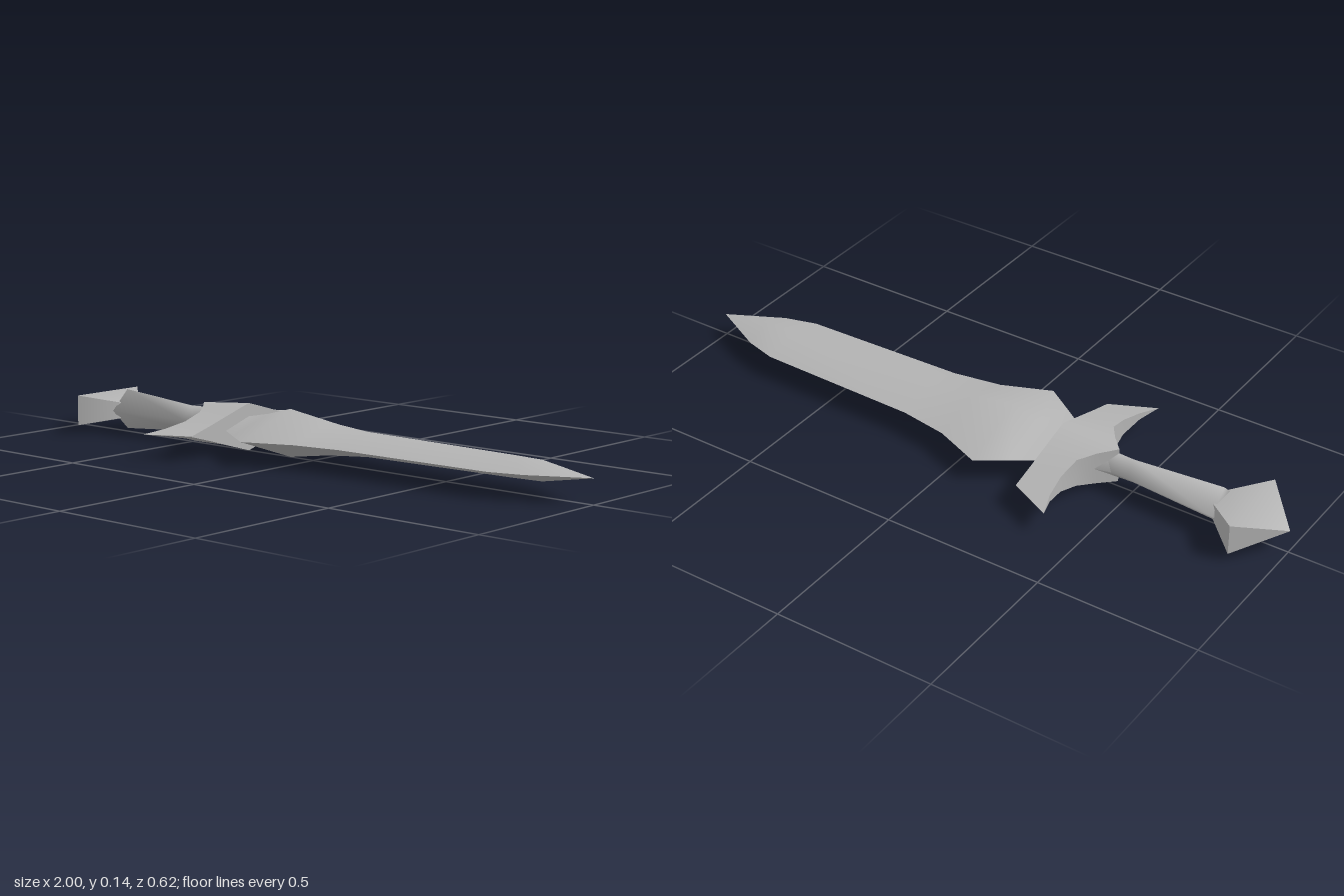
import * as THREE from 'three';
import { toCreasedNormals } from 'three/addons/utils/BufferGeometryUtils.js';

const CY = 0.075; // height of the dagger's axis

// Skin a row of equal-length rings (counter-clockwise about the loft direction) and cap both ends
function loft(rings, crease) {
  const pos = [];
  const tri = (a, b, c) => {
    const n = new THREE.Vector3().subVectors(b, a).cross(new THREE.Vector3().subVectors(c, a));
    if (n.length() > 1e-9) for (const p of [a, b, c]) pos.push(p.x, p.y, p.z);
  };
  const n = rings[0].length;
  for (let r = 0; r < rings.length - 1; r++) {
    const a = rings[r], b = rings[r + 1];
    for (let i = 0; i < n; i++) {
      const j = (i + 1) % n;
      tri(a[i], a[j], b[j]);
      tri(a[i], b[j], b[i]);
    }
  }
  const first = rings[0], last = rings[rings.length - 1];
  for (let i = 1; i < n - 1; i++) {
    tri(first[0], first[i + 1], first[i]);
    tri(last[0], last[i], last[i + 1]);
  }
  const g = new THREE.BufferGeometry();
  g.setAttribute('position', new THREE.Float32BufferAttribute(pos, 3));
  return toCreasedNormals(g, crease);
}

const v = (x, y, z) => new THREE.Vector3(x, CY + y, z);
// Sections across x: half height h, half width w
const diamond = ([x, h, w]) => [v(x, h, 0), v(x, 0, w), v(x, -h, 0), v(x, 0, -w)];
const rect = ([x, h, w]) => [v(x, h, -w), v(x, h, w), v(x, -h, w), v(x, -h, -w)];

export function createModel() {
  const group = new THREE.Group();
  const steel = new THREE.MeshStandardMaterial({ color: 0xb3b3b3 });
  steel.name = 'grey steel';
  const add = (name, geometry) => {
    const mesh = new THREE.Mesh(geometry, steel);
    mesh.name = name;
    group.add(mesh);
  };

  // Blade: flared near the guard, ridged down the middle, pointed at +x
  add('blade', loft([
    [-0.3, 0.03, 0.08], [-0.26, 0.032, 0.1], [-0.18, 0.048, 0.155], [-0.09, 0.0725, 0.215],
    [0.06, 0.05, 0.153], [0.21, 0.037, 0.128], [0.73, 0.032, 0.115], [0.83, 0.03, 0.087], [1, 0, 0],
  ].map(diamond), 1.2));

  // Grip: waisted, diamond section
  add('grip', loft([
    [-0.79, 0.0625, 0.063], [-0.5, 0.04, 0.043], [-0.45, 0.042, 0.042], [-0.4, 0.05, 0.055], [-0.32, 0.05, 0.055],
  ].map(diamond), 1.65));

  // Pommel: rectangular block tapering to a point at -x
  add('pommel', loft([
    [-1, 0, 0], [-0.88, 0.0475, 0.13], [-0.78, 0.025, 0.04],
  ].map(rect), 1.2));

  // Guard: sections across z as [z, back x, front x, back half height, front half height]
  const half = [
    [0, -0.45, -0.26, 0.056, 0.0725],
    [0.05, -0.405, -0.26, 0.052, 0.058],
    [0.1, -0.37, -0.26, 0.045, 0.043],
    [0.17, -0.362, -0.26, 0.026, 0.022],
    [0.245, -0.373, -0.26, 0.011, 0.001],
    [0.312, -0.397, -0.397, 0, 0],
  ];
  const mirrored = half.slice(1).reverse().map(([z, ...rest]) => [-z, ...rest]);
  add('guard', loft([...mirrored, ...half].map(([z, xb, xf, hb, hf]) =>
    [v(xf, -hf, z), v(xf, hf, z), v(xb, hb, z), v(xb, -hb, z)]), 0.9));

  return group;
}
